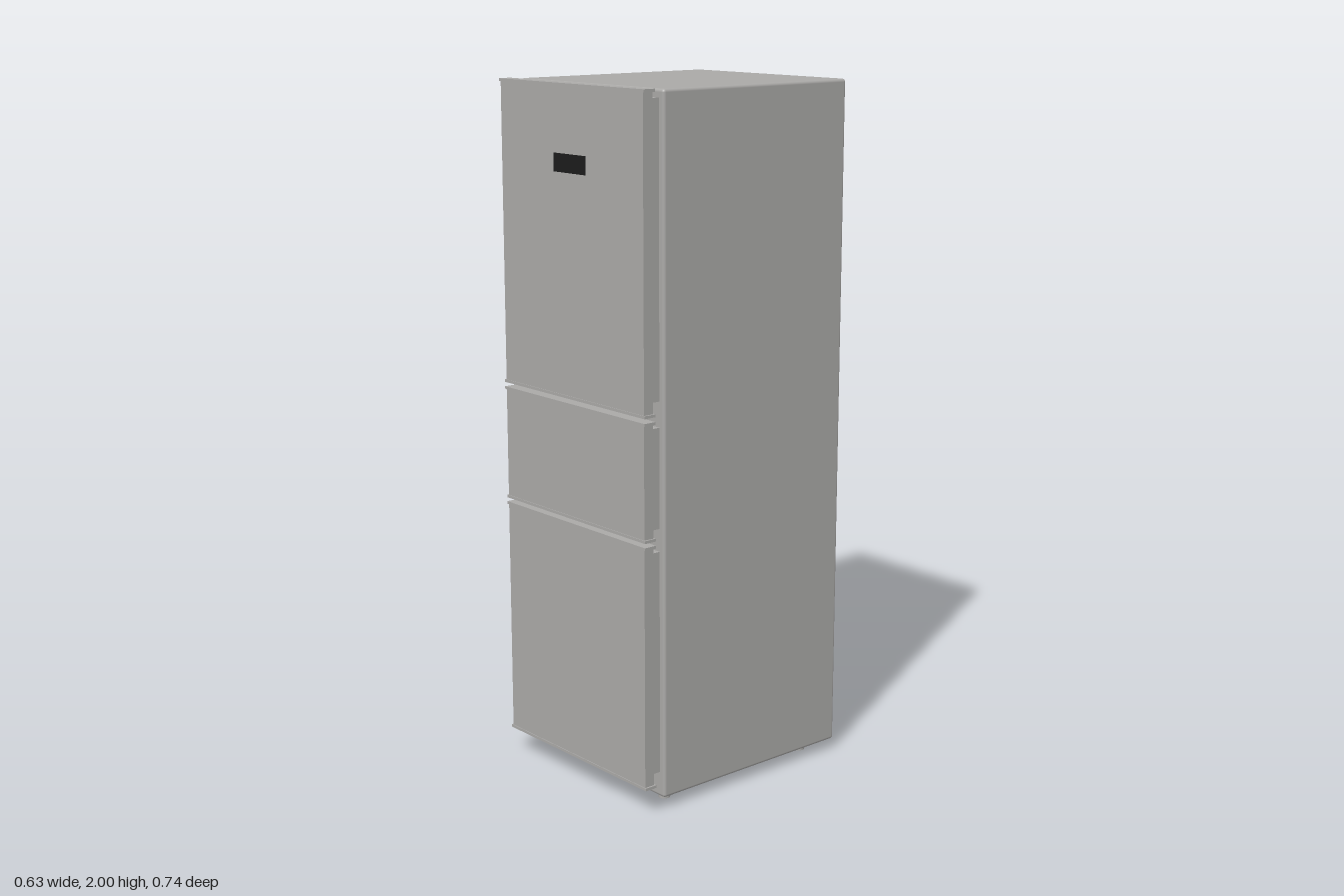
import * as THREE from 'three';
import { RoundedBoxGeometry } from 'three/addons/geometries/RoundedBoxGeometry.js';

const steel = new THREE.MeshStandardMaterial({ color: 0xaaa9a7 });
steel.name = 'brushed grey';
const black = new THREE.MeshStandardMaterial({ color: 0x1c1c1c });
black.name = 'display black';

function add(parent, name, geometry, material, x, y, z) {
  const mesh = new THREE.Mesh(geometry, material);
  mesh.name = name;
  mesh.position.set(x, y, z);
  parent.add(mesh);
  return mesh;
}

// Box given by its half width and its y and z ranges
function slab(parent, name, halfWidth, y0, y1, z0, z1, material = steel) {
  const geometry = new THREE.BoxGeometry(halfWidth * 2, y1 - y0, z1 - z0);
  return add(parent, name, geometry, material, 0, (y0 + y1) / 2, (z0 + z1) / 2);
}

// Door: front panel, trim strips along top and bottom, inset liner behind
function makeDoor(name, y0, y1, liner0, liner1) {
  const door = new THREE.Group();
  door.name = name;
  const trim = 0.008;
  slab(door, 'panel', 0.308, y0 + trim, y1 - trim, 0.337, 0.369);
  slab(door, 'bottomTrim', 0.313, y0, y0 + trim, 0.333, 0.371);
  slab(door, 'topTrim', 0.313, y1 - trim, y1, 0.333, 0.371);
  slab(door, 'liner', 0.29, liner0, liner1, 0.298, 0.338);
  return door;
}

export function createModel() {
  const fridge = new THREE.Group();
  fridge.name = 'refrigerator';

  // Cabinet with softened edges
  add(fridge, 'cabinet', new RoundedBoxGeometry(0.618, 1.966, 0.671, 3, 0.009),
    steel, 0, 1.015, -0.0355);

  // Three doors
  fridge.add(
    makeDoor('upperDoor', 1.136, 2.0, 1.17, 1.975),
    makeDoor('middleDoor', 0.791, 1.123, 0.815, 1.098),
    makeDoor('lowerDoor', 0.075, 0.779, 0.106, 0.75),
  );

  // Display on the upper door
  slab(fridge, 'display', 0.069, 1.761, 1.812, 0.366, 0.3705, black);

  // Four round feet
  const footGeometry = new THREE.CylinderGeometry(0.017, 0.017, 0.036, 20);
  for (const x of [-0.242, 0.242]) {
    for (const z of [-0.29, 0.243]) add(fridge, 'foot', footGeometry, steel, x, 0.018, z);
  }
  return fridge;
}
